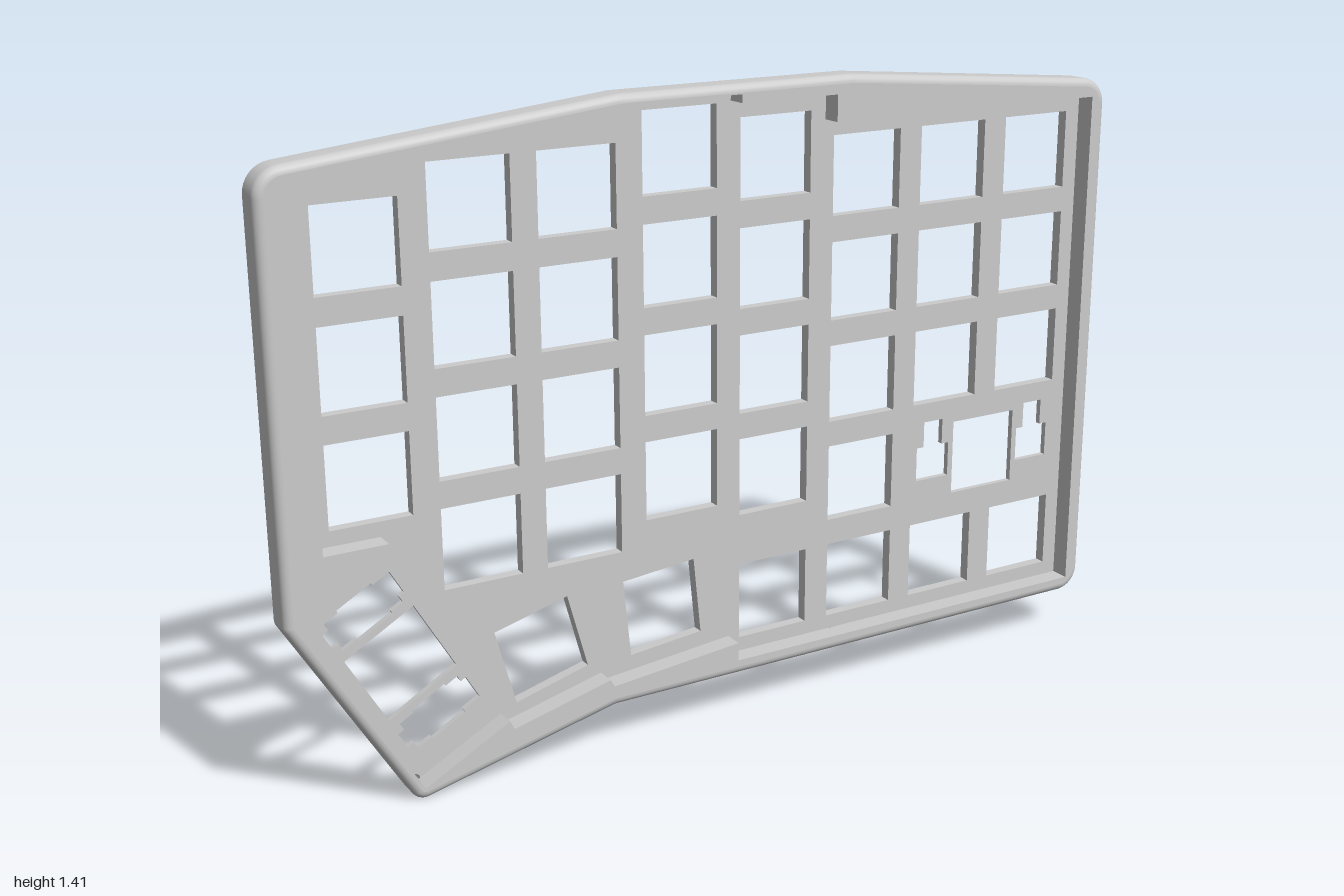
import * as THREE from 'three';

const BACK = -0.035, FRONT = 0.035, FLOOR = -0.01, STEP = -0.023, FILLET = 0.018;
const V = (x, y) => new THREE.Vector2(x, y);
const material = new THREE.MeshStandardMaterial({ color: 0xcccccc });

// Case corners, counterclockwise: x, y, corner radius (negative where concave)
const corners = [
  [-1, 0.437, 0.03], [-0.742, 0.002, 0.03], [-0.285, 0.106, -0.05], [1, 0.106, 0.055],
  [1, 1.352, 0.06], [0.305, 1.412, 0.15], [-0.25, 1.412, 0.15], [-1, 1.332, 0.06],
];

// Rounded outline moved inward by d; always the same number of points
function outline(d) {
  const n = corners.length, pts = [];
  const outward = (a, b) => V(b[1] - a[1], a[0] - b[0]).normalize();
  corners.forEach((c, i) => {
    const n1 = outward(corners[(i + n - 1) % n], c), n2 = outward(c, corners[(i + 1) % n]);
    const miter = n1.clone().add(n2).divideScalar(1 + n1.dot(n2));
    const centre = V(c[0], c[1]).addScaledVector(miter, -c[2]);
    const a = Math.atan2(n1.y, n1.x), sweep = Math.atan2(n1.cross(n2), n1.dot(n2));
    for (let k = 0; k <= 8; k++) {
      const t = a + sweep * k / 8;
      pts.push(V(centre.x + (c[2] - d) * Math.cos(t), centre.y + (c[2] - d) * Math.sin(t)));
    }
  });
  return pts;
}

// Stepped opening that follows the key columns
const opening = [
  [-0.915, 1.283], [-0.68, 1.283], [-0.68, 1.342], [-0.215, 1.342], [-0.215, 1.391], [0.025, 1.391],
  [0.025, 1.373], [0.26, 1.373], [0.26, 1.315], [0.96, 1.315], [0.96, 0.14], [0.02, 0.14],
  [0.02, 0.182], [-0.29, 0.153], [-0.3, 0.17], [-0.527, 0.114], [-0.537, 0.134], [-0.73, 0.032],
  [-0.972, 0.449], [-0.77, 0.568], [-0.78, 0.578], [-0.915, 0.578],
].map(p => V(...p));

// Polygon turned by deg and moved to x, y
const place = (pts, x, y, deg = 0) =>
  pts.map(([px, py]) => V(px, py).rotateAround(V(0, 0), deg * Math.PI / 180).add(V(x, y)));
const rect = (w, h) => [[-w / 2, -h / 2], [w / 2, -h / 2], [w / 2, h / 2], [-w / 2, h / 2]];
const key = (x, y, deg) => place(rect(0.175, 0.175), x, y, deg);

// Ordinary key holes: column x, top key y, number of keys
function keyHoles() {
  const holes = [];
  const columns = [
    [-0.797, 1.163, 3], [-0.563, 1.222, 4], [-0.331, 1.222, 4], [-0.096, 1.282, 4],
    [0.136, 1.249, 4], [0.37, 1.192, 4], [0.602, 1.192, 3], [0.836, 1.192, 3],
  ];
  for (const [x, top, count] of columns) {
    for (let i = 0; i < count; i++) holes.push(key(x, top - i * 0.2327, 0));
    if (x > 0) holes.push(key(x, 0.26, 0));
  }
  holes.push(key(-0.438, 0.257, 15), key(-0.147, 0.289, 5.5));
  return holes;
}

// Wide keys: switch hole with a stabiliser cut-out on each side
const smallStabiliser = [
  [-0.045, -0.04], [0.045, -0.04], [0.045, 0.04], [0.026, 0.04],
  [0.026, 0.1], [-0.026, 0.1], [-0.026, 0.04], [-0.045, 0.04],
];
const longStabiliser = [
  [-0.022, -0.088], [0.037, -0.088], [0.037, -0.045], [0.043, -0.045], [0.043, 0.04], [0.037, 0.04],
  [0.037, 0.075], [0.02, 0.075], [0.02, 0.09], [-0.02, 0.09], [-0.02, 0.075], [-0.037, 0.075],
  [-0.037, 0.04], [-0.043, 0.04], [-0.043, -0.045], [-0.037, -0.045], [-0.037, -0.075], [-0.022, -0.075],
];
function wideKey(x, y, deg, stabiliser) {
  const a = deg * Math.PI / 180;
  const side = s => place(stabiliser.map(([px, py]) => [px * s, py]),
    x + s * 0.146 * Math.cos(a), y + s * 0.146 * Math.sin(a), deg);
  return [key(x, y, deg), side(-1), side(1)];
}

function slab(name, outer, holes, z0, z1) {
  const shape = new THREE.Shape(outer);
  shape.holes = holes.map(h => new THREE.Path(h));
  const geometry = new THREE.ExtrudeGeometry(shape, { depth: z1 - z0, bevelEnabled: false });
  const mesh = new THREE.Mesh(geometry.translate(0, 0, z0), material);
  mesh.name = name;
  return mesh;
}

// Outer wall with a small back edge and a filleted front edge
function outerWall() {
  const levels = [[BACK, 0.005], [BACK + 0.002, 0.0015], [BACK + 0.006, 0]];
  for (let i = 0; i <= 6; i++) {
    const a = i / 6 * Math.PI / 2;
    levels.push([FRONT - FILLET + FILLET * Math.sin(a), FILLET * (1 - Math.cos(a))]);
  }
  const positions = [], index = [];
  let n = 0;
  levels.forEach(([z, d], j) => {
    const loop = outline(d);
    n = loop.length;
    loop.forEach((p, i) => {
      positions.push(p.x, p.y, z);
      if (j === 0) return;
      const b = j * n + i, c = j * n + (i + 1) % n;
      index.push(b - n, c - n, c, b - n, c, b);
    });
  });
  const geometry = new THREE.BufferGeometry();
  geometry.setAttribute('position', new THREE.Float32BufferAttribute(positions, 3));
  geometry.setIndex(index);
  geometry.computeVertexNormals();
  const mesh = new THREE.Mesh(geometry, material);
  mesh.name = 'outerWall';
  return mesh;
}

export function createModel() {
  const group = new THREE.Group();
  group.name = 'keyboardCase';

  // Blind screw holes around the back
  const circle = Array.from({ length: 16 }, (_, i) =>
    [0.011 * Math.cos(i * Math.PI / 8), 0.011 * Math.sin(i * Math.PI / 8)]);
  const screws = [
    [0.967, 1.315], [0.295, 1.385], [-0.227, 1.385], [-0.97, 1.295], [-0.973, 0.88], [-0.973, 0.452],
    [-0.735, 0.035], [-0.227, 0.137], [0.295, 0.13], [0.967, 0.137], [0.973, 0.72],
  ].map(([x, y]) => place(circle, x, y));

  // Shallow recesses behind the wide keys, and two narrow slots
  const recesses = [
    place(rect(0.434, 0.235), 0.719, 0.5), place(rect(0.4, 0.22), -0.751, 0.299, 120),
    place(rect(0.028, 0.43), 0.031, 1.155), place(rect(0.028, 0.43), 0.241, 1.155),
  ];
  const wide = [
    ...wideKey(0.719, 0.494, 0, smallStabiliser),
    ...wideKey(-0.751, 0.299, 120, longStabiliser),
  ];

  group.add(
    outerWall(),
    slab('backPlate', outline(0.005), [...keyHoles(), ...screws, ...recesses], BACK, STEP),
    slab('switchPlate', outline(0.005), [...keyHoles(), ...screws, ...wide], STEP, FLOOR),
    slab('frontRim', outline(FILLET), [opening], FLOOR, FRONT),
  );
  return group;
}
